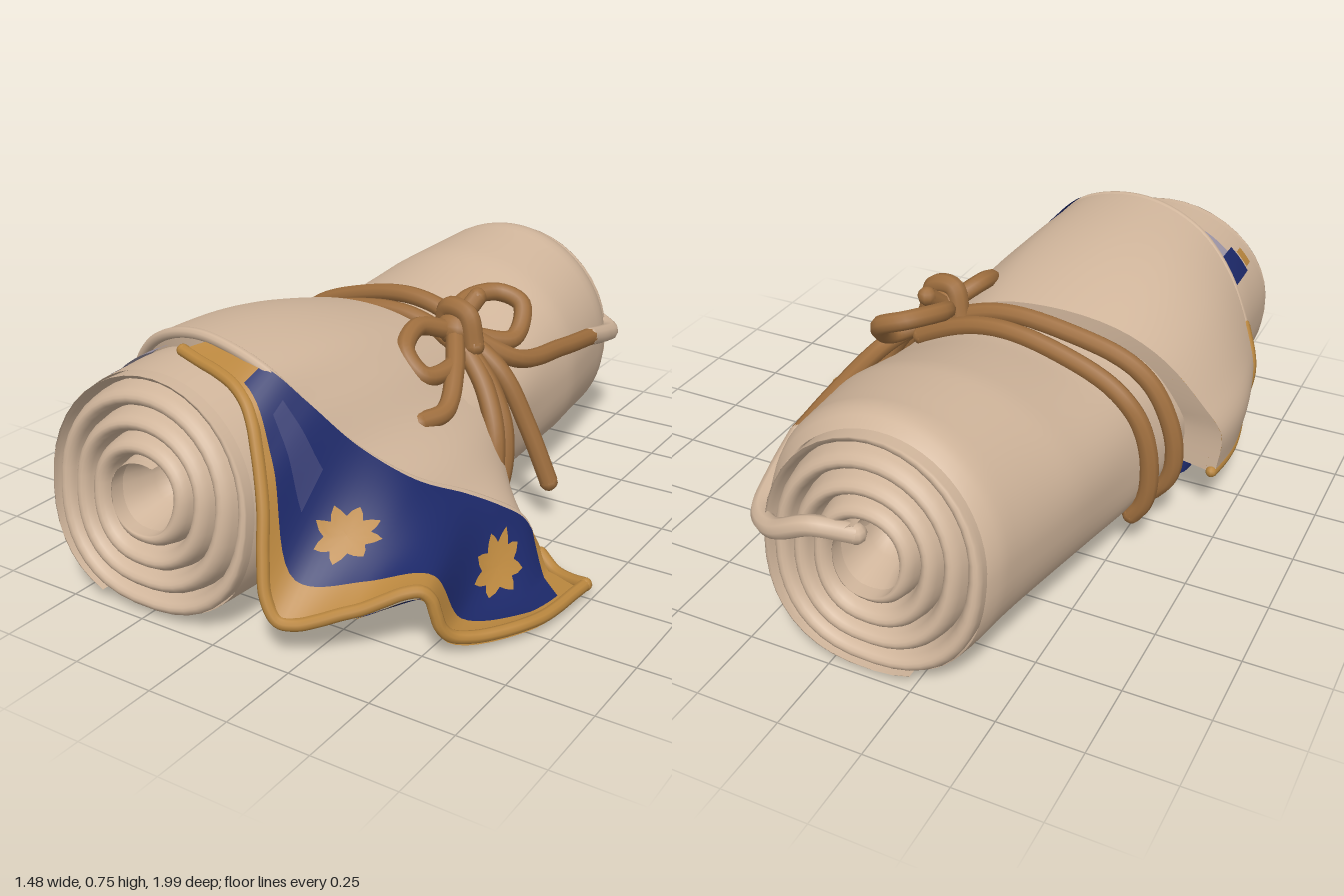
import * as THREE from 'three';

const mat = (name, color) => Object.assign(
  new THREE.MeshStandardMaterial({ color, side: THREE.DoubleSide }), { name });
const cream = mat('cream cloth', 0xd0b59b);
const blue = mat('blue lining', 0x1c2868);
const gold = mat('gold trim', 0xb9863e);
const ropeBrown = mat('brown rope', 0x9e6e3e);
const faded = mat('faded blue', 0x9d95a6);
const dusky = mat('dusky blue', 0x383e74);

// Smooth surface from fn(u, v) -> Vector3; pick(u, v) chooses a material per cell
function surface(name, nu, nv, fn, mats, pick) {
  const pos = [], cells = Array.isArray(mats) ? mats.map(() => []) : [[]];
  for (let i = 0; i <= nu; i++)
    for (let j = 0; j <= nv; j++) pos.push(...fn(i / nu, j / nv).toArray());
  for (let i = 0; i < nu; i++)
    for (let j = 0; j < nv; j++) {
      const a = i * (nv + 1) + j, b = a + nv + 1;
      cells[pick ? pick((i + 0.5) / nu, (j + 0.5) / nv) : 0].push(a, b, b + 1, a, b + 1, a + 1);
    }
  const g = new THREE.BufferGeometry();
  g.setAttribute('position', new THREE.Float32BufferAttribute(pos, 3));
  g.setIndex(cells.flat());
  let start = 0;
  if (Array.isArray(mats)) cells.forEach((c, k) => { g.addGroup(start, c.length, k); start += c.length; });
  g.computeVertexNormals();
  const mesh = new THREE.Mesh(g, mats);
  mesh.name = name;
  return mesh;
}

const curve = pts => new THREE.CatmullRomCurve3(pts.map(p => new THREE.Vector3(...p)));

// Rope along points, with rounded ends
function rope(name, pts, r = 0.029, m = ropeBrown) {
  const c = curve(pts), group = new THREE.Group();
  group.name = name;
  group.add(new THREE.Mesh(new THREE.TubeGeometry(c, pts.length * 7, r, 9), m));
  for (const t of [0, 1]) {
    const cap = new THREE.Mesh(new THREE.SphereGeometry(r, 9, 6), m);
    cap.position.copy(c.getPoint(t));
    group.add(cap);
  }
  return group;
}

// Roll cross-sections: z, left x, right x, height
const END = 0.905;
const sections = [
  [END, -0.605, 0.085, 0.69], [0.7, -0.615, 0.11, 0.70], [0.4, -0.62, 0.2, 0.69],
  [0.1, -0.6, 0.29, 0.63], [-0.05, -0.59, 0.31, 0.61], [-0.2, -0.57, 0.31, 0.63],
  [-0.5, -0.52, 0.31, 0.70], [-0.8, -0.46, 0.27, 0.73], [-0.86, -0.45, 0.25, 0.725],
  [-END, -0.43, 0.22, 0.70]];

function sectionAt(z) {
  let i = 0;
  while (i < sections.length - 2 && z < sections[i + 1][0]) i++;
  const a = sections[i], b = sections[i + 1];
  const t = THREE.MathUtils.clamp((a[0] - z) / (a[0] - b[0]), 0, 1);
  const [x0, x1, h] = [1, 2, 3].map(k => THREE.MathUtils.lerp(a[k], b[k], t));
  return { cx: (x0 + x1) / 2, rx: (x1 - x0) / 2, cy: h / 2, ry: h / 2 - 0.012 };
}

const pow = (v, e) => Math.sign(v) * Math.abs(v) ** e;

// Point on the roll at an angle, lifted by off and scaled by k; the ends lean back at the top
function rollPoint(angle, z, off = 0, k = 1) {
  const s = sectionAt(z), e = Math.sin(angle) < 0 ? 0.84 : 1;
  const fold = 0.007 * Math.sin(angle * 6 + z * 5) * Math.exp(-z * z * 6);
  const y = Math.max(0.004, s.cy + (s.ry * k + off + fold) * pow(Math.sin(angle), e));
  const lean = 0.05 * (1 - y / 0.35) * THREE.MathUtils.clamp((Math.abs(z) - 0.72) / 0.18, 0, 1);
  return new THREE.Vector3(
    s.cx + (s.rx * k + off + fold) * pow(Math.cos(angle), e), y, z + Math.sign(z) * lean);
}
// Point just inside the roll, level with p around its axis
function rollBeside(p) {
  const s = sectionAt(p.z);
  return rollPoint(Math.atan2((p.y - s.cy) / s.ry, (p.x - s.cx) / s.rx), p.z, -0.01);
}

// Spiral end of the roll with rounded layers and a hollow core; dir is +1 front, -1 back
function spiralEnd(name, dir) {
  const group = new THREE.Group(), hole = 0.3, pitch = 0.2, turns = 4.5;
  group.name = name;
  const at = (r, a, depth) => {
    const p = rollPoint(a, dir * END, 0, r * (1 + 0.04 * (1 - r) * Math.sin(3 * a)));
    p.z += dir * depth;
    return p;
  };
  group.add(surface('spiral layers', 180, 8, (u, v) => {
    const r = THREE.MathUtils.clamp(hole + pitch * (u * turns + v - 1), hole, 0.985);
    return at(r, u * turns * Math.PI * 2 * dir + 1.2,
      0.065 * Math.sqrt(Math.max(0, Math.sin(Math.PI * v))) - 0.01 - 0.05 * Math.max(0, r - 0.6));
  }, cream));
  group.add(surface('hollow core', 4, 24, (u, v) =>
    at(u < 1 ? hole * (1 - u * 0.5) : 0, v * Math.PI * 2, 0.01 - 0.2 * Math.min(u, 0.75)), cream));
  return group;
}

// Folded cloth edges: fold line and hem of the turned-over corner, sagging between them
const foldPts = [[-0.22, 0.72, 0.71], [0, 0.69, 0.72], [0.1, 0.6, 0.68], [0.2, 0.47, 0.6],
  [0.32, 0.36, 0.5], [0.4, 0.28, 0.36], [0.46, 0.22, 0.27], [0.5, 0.16, 0.2], [0.53, 0.08, 0.17]];
const foldLine = curve(foldPts);
const hemLine = curve([[-0.27, 0.7, 0.74], [-0.02, 0.64, 0.8], [0.085, 0.45, 0.87], [0.19, 0.12, 0.965],
  [0.36, 0.15, 0.87], [0.51, 0.2, 0.76], [0.56, 0.07, 0.72], [0.69, 0.035, 0.5], [0.725, 0.035, 0.24]]);
const corner = (u, v, lift = 0) => {
  const p = foldLine.getPoint(u).lerp(hemLine.getPoint(u), v);
  const sag = 0.07 * Math.sin(Math.PI * v) * THREE.MathUtils.smoothstep(u, 0.5, 0.75);
  p.x += lift; p.y = Math.max(0.018 + lift, p.y + lift - sag); p.z += lift * 0.5;
  return p;
};
// Inner edge of the cloth tucked below the corner, from the back end towards the front
const tuckLine = curve([[0.35, 0.012, 0.13], [0.42, 0.012, 0.28], [0.38, 0.015, 0.42], [0.33, 0.04, 0.56]]);

// Outer blanket layer, between its front and back edges
const outerFront = curve([[-0.67, 0.16, 0.5], [-0.69, 0.3, 0.52], [-0.66, 0.4, 0.55],
  [-0.56, 0.58, 0.61], [-0.42, 0.7, 0.66], [-0.22, 0.75, 0.7], [0, 0.7, 0.72], ...foldPts.slice(2)]);
const outerBack = curve([[-0.71, 0.16, 0.1], [-0.72, 0.3, 0.1], [-0.66, 0.4, 0.08],
  [-0.54, 0.54, 0.05], [-0.4, 0.62, 0.03], [-0.2, 0.65, 0.02], [0, 0.625, 0.02], [0.12, 0.56, 0.02],
  [0.22, 0.46, 0.03], [0.31, 0.36, 0.05], [0.36, 0.27, 0.07], [0.4, 0.19, 0.09],
  [0.44, 0.1, 0.11], [0.5, 0.03, 0.13]]);
const outer = (u, v, off = 0) => {
  const p = outerFront.getPoint(u).lerp(outerBack.getPoint(u), v);
  const out = new THREE.Vector3(p.x + 0.25, p.y - 0.33, 0).normalize();
  p.addScaledVector(out, off + 0.025 * Math.sin(Math.PI * v));
  p.y = Math.max(0.004, p.y);
  return p;
};
// Wall closing the gap between an edge of the outer layer and the roll
const edgeWall = (name, u0, u1, edge) => surface(name, 30, 3, (u, v) => {
  const p = outer(u0 + (u1 - u0) * u, edge);
  return p.lerp(rollBeside(p), v);
}, cream);

// Blue layer below the roll: profile from left side to floor, swept along z
const underProfile = curve([[-0.645, 0.36, 0], [-0.635, 0.22, 0], [-0.605, 0.1, 0], [-0.55, 0.015, 0],
  [-0.4, 0.004, 0], [-0.26, 0.003, 0], [-0.1, 0.003, 0]]);
const under = (u, v, drop = 0) => {
  const p = underProfile.getPoint(u);
  p.y = Math.max(0, p.y - drop);
  p.z = 0.6 - 0.37 * v + 0.03 * Math.sin(u * 3);
  return p;
};

// Blunt eight-pointed star on a surface given by at(du, dv)
const star = (name, at) => surface(name, 4, 32, (u, v) => {
  const r = u * [1, 0.82, 0.64, 0.82][Math.round(v * 32) % 4];
  return at(r * Math.cos(v * Math.PI * 2), r * Math.sin(v * Math.PI * 2));
}, gold);

export function createModel() {
  const model = new THREE.Group();
  model.name = 'blanketRoll';
  const deg = Math.PI / 180;

  // Main roll and its spiral ends
  model.add(surface('rollBody', 48, 64, (u, v) =>
    rollPoint((v * 360 - 90) * deg, END * (1 - 2 * u)), cream));
  model.add(spiralEnd('frontSpiral', 1), spiralEnd('backSpiral', -1));

  // Outer layer, closed against the roll, with gold inner hem on the left
  model.add(surface('outerLayer', 80, 16, (u, v) => outer(u, v), cream));
  model.add(edgeWall('frontWall', 0.16, 0.6, 0), edgeWall('backWall', 0, 0.62, 1));
  model.add(surface('leftLining', 16, 16, (u, v) => outer(u * 0.2, v, -0.03), gold));
  model.add(surface('leftFrontLip', 12, 4, (u, v) => outer(u * 0.18, 0, -0.075 * v), ropeBrown));
  model.add(rope('leftHem', [0, 0.25, 0.5, 0.75, 1].map(t => outer(0, t, -0.012).toArray()), 0.018, gold));
  const edge = (a, b) => Array.from({ length: 20 }, (_, i) =>
    outer(a + (b - a) * i / 19, 0, -0.012).toArray());
  model.add(rope('leftFrontHem', edge(0, 0.17), 0.02, gold));
  model.add(rope('frontFoldEdge', edge(0.17, 0.97), 0.016, cream));
  // Lining inside the hanging right part
  model.add(surface('rightLining', 20, 16, (u, v) => outer(0.76 + 0.24 * u, v, -0.012), blue));

  // Turned-over corner with gold border, stars and gold underside
  model.add(surface('turnedCorner', 72, 28, (u, v) => corner(u, v, 0.008), [blue, gold, dusky], (u, v) =>
    v > 0.8 || u > 0.94 || u < 0.11 ? 1 : u > 0.2 && u < 0.33 && v > 0.25 && v < 0.55 ? 2 : 0));
  model.add(surface('cornerUnderside', 72, 12, (u, v) => corner(u, v, -0.01), gold));
  model.add(surface('tuckedCloth', 30, 8, (u, v) => {
    const p = tuckLine.getPoint(u).lerp(hemLine.getPoint(1 - 0.5 * u), v);
    p.y = Math.max(0.006, p.y - 0.025);
    return p;
  }, [blue, gold], (u, v) => (u > 0.56 && v < 0.9 ? 0 : 1)));
  const aboveFloor = (p, y) => [p.x, Math.max(y, p.y), p.z];
  model.add(rope('cornerHem', Array.from({ length: 30 }, (_, i) =>
    aboveFloor(hemLine.getPoint(i / 29), 0.02)), 0.018, gold));
  model.add(rope('cornerEndHem', [0.1, 0.4, 0.7, 1].map(v => aboveFloor(corner(1, v), 0.022)), 0.02, gold));
  for (const [i, u0, v0, ru, rv] of [[1, 0.425, 0.48, 0.064, 0.18], [2, 0.785, 0.33, 0.07, 0.23]])
    model.add(star('cornerStar' + i, (a, b) => corner(u0 + a * ru, v0 + b * rv, 0.016)));

  // Blue layer showing at the lower left, with gold front hem, star and inner wall
  model.add(surface('underLayer', 32, 12, (u, v) => under(u, v), [blue, gold],
    (u, v) => (v < 0.09 || u < 0.06 || (u < 0.35 && v > 0.6) ? 1 : 0)));
  model.add(surface('underWall', 16, 2, (u, v) => {
    const p = under(u * 0.75, 0.03);
    return p.lerp(rollBeside(p), v);
  }, cream));
  model.add(rope('underHem', Array.from({ length: 14 }, (_, i) =>
    aboveFloor(under(i / 13 * 0.7, 0), 0.015)), 0.015, gold));
  model.add(star('underStar', (a, b) => under(0.67 + a * 0.11, 0.42 + b * 0.2, 0.004)));

  // Small marks on the front part of the roll: lower angle, upper angle, front z, back z
  for (const [name, a, b, z0, z1, m] of [['blueMark', 134, 150, 0.79, 0.58, blue],
    ['fadedMark', 112, 134, 0.74, 0.6, faded], ['goldMark', 138, 148, 0.85, 0.8, gold]])
    model.add(surface(name, 6, 6, (u, v) =>
      rollPoint((a + (b - a) * v) * deg, z0 + (z1 - z0) * u, 0.007), m));

  // Double rope over the left side
  for (const [name, zTop, zSide] of [['rearBinding', -0.13, -0.17], ['frontBinding', -0.03, -0.02]])
    model.add(rope(name, Array.from({ length: 18 }, (_, i) => {
      const t = i / 17;
      return rollPoint((48 + 162 * t) * deg, THREE.MathUtils.lerp(zTop, zSide, Math.min(1, t * 1.7)), 0.02).toArray();
    })));

  // Doubled strap down the right side and under the roll
  for (const [name, dz] of [['rightStrapRear', -0.02], ['rightStrapFront', 0.035]])
    model.add(rope(name, [[0.17, 0.57, -0.01], [0.27, 0.46, 0.01 + dz * 0.5], [0.335, 0.32, 0.04 + dz],
      [0.33, 0.14, 0.08 + dz], [0.25, 0.045, 0.13 + dz], [0.08, 0.031, 0.22 + dz], [-0.13, 0.031, 0.38 + dz]],
    0.031));

  // Bow: knot, loops and tails
  const bow = new THREE.Group();
  bow.name = 'bow';
  const knot = new THREE.Mesh(new THREE.SphereGeometry(0.06, 12, 8), ropeBrown);
  knot.name = 'knot';
  knot.position.set(0.14, 0.61, -0.03);
  knot.scale.set(1.1, 0.9, 1.1);
  bow.add(knot,
    rope('knotWrap', [[0.08, 0.58, -0.05], [0.11, 0.67, -0.03], [0.18, 0.66, -0.02], [0.21, 0.57, -0.01]], 0.032),
    rope('rearLoop', [[0.13, 0.6, -0.04], [0.09, 0.65, -0.15], [0.15, 0.66, -0.26], [0.23, 0.63, -0.27],
      [0.25, 0.55, -0.18], [0.15, 0.58, -0.06]]),
    rope('frontLoop', [[0.13, 0.61, 0], [0.08, 0.64, 0.1], [0.1, 0.6, 0.2], [0.17, 0.54, 0.21],
      [0.2, 0.54, 0.1], [0.15, 0.58, 0]]),
    rope('frontTail', [[0.15, 0.6, 0], [0.22, 0.53, 0.12], [0.26, 0.46, 0.24], [0.23, 0.45, 0.33]]),
    rope('sideTail', [[0.16, 0.58, -0.05], [0.28, 0.48, -0.06], [0.36, 0.32, -0.08], [0.43, 0.14, -0.1]]),
    rope('upperStub', [[0.13, 0.62, -0.06], [0.15, 0.68, -0.13]]),
    rope('longEnd', [[0.15, 0.59, -0.05], [0.28, 0.5, -0.15], [0.305, 0.46, -0.4], [0.305, 0.43, -0.62]]));
  model.add(bow);

  // Pale cord continuing round the back end into the spiral
  model.add(rope('paleCord', [[0.305, 0.43, -0.62], [0.285, 0.39, -0.77], [0.25, 0.36, -0.9],
    [0.17, 0.37, -0.96], [0.05, 0.42, -0.965], [-0.06, 0.4, -0.92]], 0.03, cream));
  return model;
}
